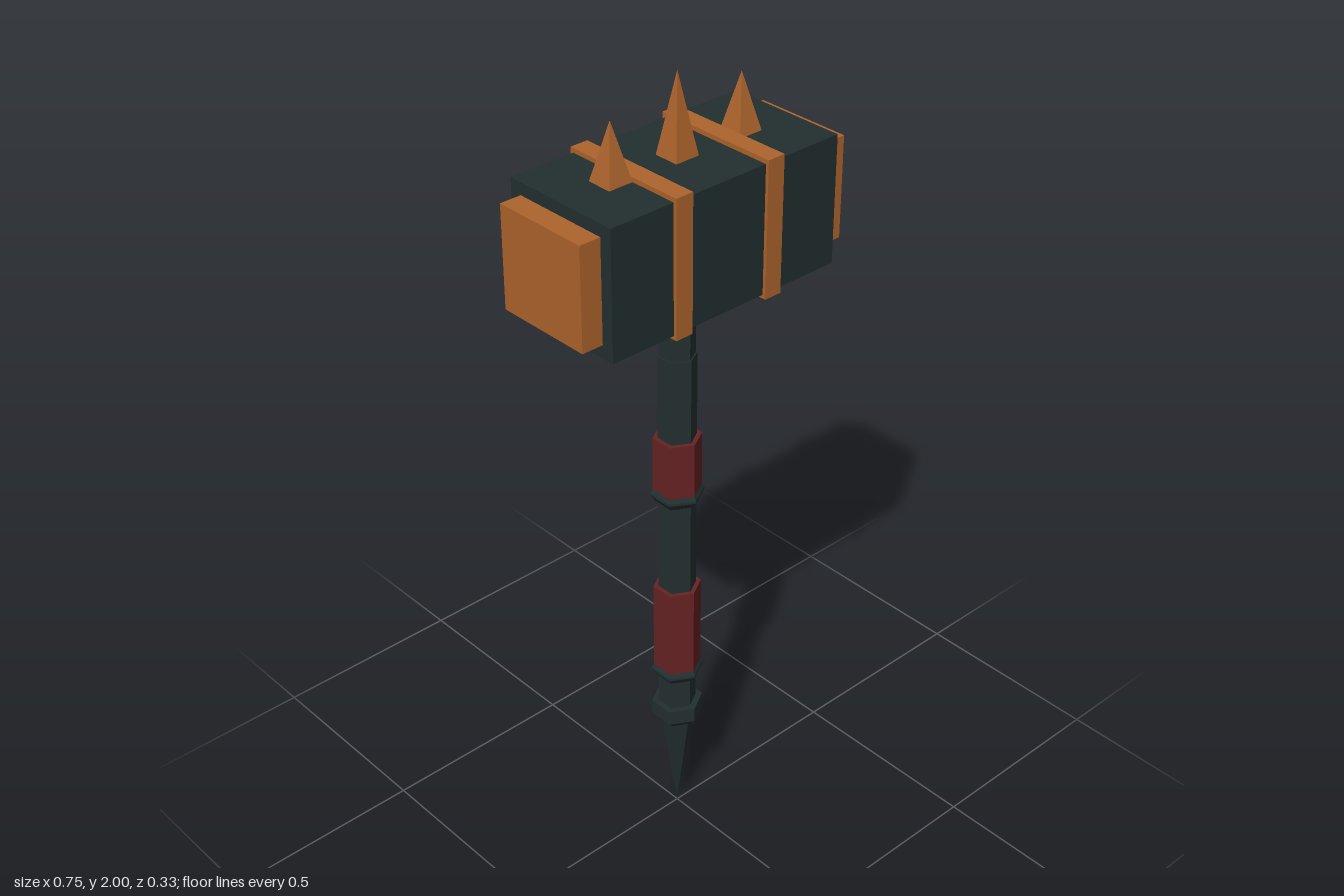
import * as THREE from 'three';

export function createModel() {
  const model = new THREE.Group();
  model.name = 'warHammer';

  const material = (name, color) => {
    const m = new THREE.MeshStandardMaterial({ color, flatShading: true });
    m.name = name;
    return m;
  };
  const iron = material('dark iron', 0x232f30);
  const copper = material('copper', 0xae642c);
  const leather = material('red leather', 0x662223);

  const add = (name, geometry, mat, x = 0, y = 0, z = 0) => {
    const mesh = new THREE.Mesh(geometry, mat);
    mesh.name = name;
    mesh.position.set(x, y, z);
    model.add(mesh);
    return mesh;
  };

  // Six-sided turned part from [radius, height] pairs, bottom to top
  const turned = (name, mat, profile) => {
    const points = profile.map(([r, y]) => new THREE.Vector2(r, y));
    const geometry = new THREE.LatheGeometry(points, 6).toNonIndexed();
    geometry.computeVertexNormals();
    return add(name, geometry, mat);
  };
  const prism = (name, mat, r, y0, y1) =>
    turned(name, mat, [[0, y0], [r, y0], [r, y1], [0, y1]]);

  // Pointed foot and its collar
  turned('footSpike', iron, [[0, 0], [0.04, 0.285], [0, 0.285]]);
  turned('footCollar', iron, [[0, 0.28], [0.042, 0.28], [0.063, 0.302], [0.063, 0.342], [0, 0.342]]);

  // Shaft, thinner near the head
  prism('lowerShaft', iron, 0.046, 0.33, 1.33);
  prism('upperShaft', iron, 0.042, 1.32, 1.5);
  prism('headSocket', iron, 0.075, 1.485, 1.505);

  // Leather grips, each resting on a flared ring
  for (const [name, y0, y1] of [['lowerGrip', 0.455, 0.695], ['upperGrip', 0.972, 1.115]]) {
    prism(name, leather, 0.058, y0, y1);
    turned(name + 'Ring', iron, [[0, y0 - 0.032], [0.05, y0 - 0.032], [0.064, y0 - 0.014],
      [0.064, y0 - 0.008], [0.055, y0 + 0.008], [0, y0 + 0.008]]);
  }

  // Head block
  add('head', new THREE.BoxGeometry(0.638, 0.308, 0.31), iron, 0, 1.656, 0);

  // Striking faces and bands on both sides
  for (const [side, s] of [['left', 1], ['right', -1]]) {
    add(side + 'StrikingFace', new THREE.BoxGeometry(0.06, 0.246, 0.248), copper, s * 0.343, 1.657, 0);
    add(side + 'Band', new THREE.BoxGeometry(0.046, 0.328, 0.326), copper, s * 0.129, 1.657, 0);
  }

  // Square spikes on top, the middle one tallest
  for (const [name, x, tip] of [['rightSpike', -0.183, 1.945], ['middleSpike', 0, 2], ['leftSpike', 0.183, 1.945]]) {
    const h = tip - 1.808;
    const spike = new THREE.ConeGeometry(0.032 * Math.SQRT2, h, 4);
    spike.rotateY(Math.PI / 4);
    add(name, spike, copper, x, tip - h / 2, 0);
  }

  return model;
}
